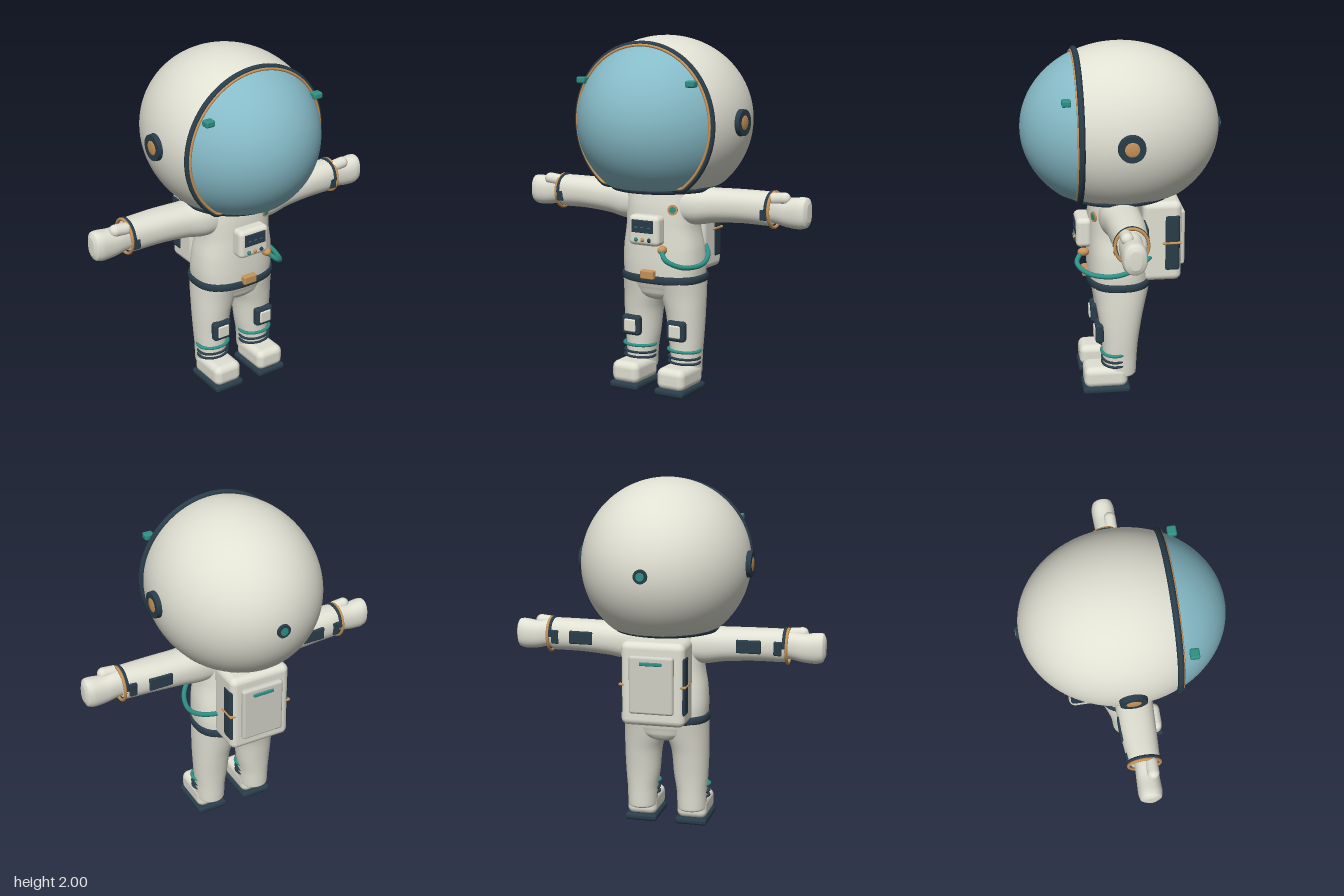
import * as THREE from 'three';
import { RoundedBoxGeometry } from 'three/addons/geometries/RoundedBoxGeometry.js';

const mat = (name, color) => {
  const m = new THREE.MeshStandardMaterial({ color });
  m.name = name;
  return m;
};

// Rounded box centred on a point
const box = (w, h, d, x, y, z, r = 0.02) =>
  new RoundedBoxGeometry(w, h, d, 4, Math.min(r, w / 2.1, h / 2.1, d / 2.1)).translate(x, y, z);

// Smooth closed skin through oval sections [t, cu, cv, ru, rv]; place() maps (t, u, v) to a point
function loft(sections, place, power = 2.3, sides = 40, steps = 40) {
  const a = new THREE.CatmullRomCurve3(sections.map(s => new THREE.Vector3(s[0], s[1], s[2])));
  const b = new THREE.CatmullRomCurve3(sections.map(s => new THREE.Vector3(s[3], s[4], 0)));
  const pos = [], idx = [];
  const bend = c => Math.sign(c) * Math.abs(c) ** (2 / power);
  for (let i = 0; i <= steps; i++) {
    const c = a.getPoint(i / steps), r = b.getPoint(i / steps);
    for (let j = 0; j < sides; j++) {
      const t = j / sides * Math.PI * 2;
      pos.push(...place(c.x, c.y + r.x * bend(Math.cos(t)), c.z + r.y * bend(Math.sin(t))));
      const k = (j + 1) % sides, p = i * sides;
      if (i < steps) idx.push(p + j, p + sides + j, p + k, p + k, p + sides + j, p + sides + k);
    }
  }
  const n = (steps + 1) * sides, first = a.getPoint(0), last = a.getPoint(1);
  pos.push(...place(first.x, first.y, first.z), ...place(last.x, last.y, last.z));
  for (let j = 0; j < sides; j++) {
    const k = (j + 1) % sides, p = steps * sides;
    idx.push(n, j, k, n + 1, p + k, p + j);
  }
  const g = new THREE.BufferGeometry();
  g.setAttribute('position', new THREE.Float32BufferAttribute(pos, 3));
  g.setIndex(idx);
  g.computeVertexNormals();
  return g;
}
const upright = (t, u, v) => [u, t, v];  // sections [y, x, z, rx, rz]
const sideways = (t, u, v) => [t, v, u]; // sections [x, z, y, rz, ry]

// Oval ring lying flat, with a band of the given half height
const flatRing = (rx, rz, tube, x, y, z) => {
  const t = tube / Math.min(rx, rz);
  return new THREE.TorusGeometry(1, t, 12, 64).rotateX(Math.PI / 2).scale(rx, tube / t, rz).translate(x, y, z);
};

// Copy of a geometry reflected across x = 0, with the winding restored
function mirror(geo) {
  const g = geo.index ? geo.toNonIndexed() : geo.clone();
  for (const key of ['position', 'normal']) {
    const at = g.attributes[key];
    for (let i = 0; i < at.count; i += 3) {
      const p = [0, 2, 1].map(k => [-at.getX(i + k), at.getY(i + k), at.getZ(i + k)]);
      p.forEach((q, k) => at.setXYZ(i + k, ...q));
    }
  }
  return g;
}

export function createModel() {
  const root = new THREE.Group();
  root.name = 'astronaut';
  const white = mat('suit white', 0xe0e0d3);
  const navy = mat('navy trim', 0x2a3d4a);
  const blue = mat('visor blue', 0x86bbc8);
  const teal = mat('teal', 0x2f9085);
  const gold = mat('gold', 0xc6945a);
  const grey = mat('panel grey', 0xcfcfc4);
  const add = (name, geo, m) => {
    const mesh = new THREE.Mesh(geo, m);
    mesh.name = name;
    root.add(mesh);
  };
  const pair = (name, geo, m) => {
    add(name + 'Left', geo, m);
    add(name + 'Right', mirror(geo), m);
  };

  // Helmet and visor: ovoids flattened at the neck
  const floor = 1.175;
  const dome = (angle, grow) => {
    const g = new THREE.SphereGeometry(1, 96, 64, 0, Math.PI * 2, 0, angle).rotateX(Math.PI / 2);
    g.scale(0.47 * grow, 0.47 * grow, 0.55 * grow).translate(0, 1.53, 0.005);
    const p = g.attributes.position;
    for (let i = 0; i < p.count; i++) p.setY(i, Math.max(p.getY(i), floor));
    return g;
  };
  add('helmet', dome(Math.PI, 1), white);
  add('visor', dome(Math.acos(0.245 / 0.55), 1.004), blue);
  const rim = (r, z, tube, low) => {
    const pts = [];
    for (let i = 0; i < 96; i++) {
      const t = i / 96 * Math.PI * 2;
      pts.push(new THREE.Vector3(r * Math.sin(t), Math.max(1.528 + r * Math.cos(t), low), z));
    }
    return new THREE.TubeGeometry(new THREE.CatmullRomCurve3(pts, true), 192, tube, 10, true);
  };
  add('visorRim', rim(0.43, 0.25, 0.017, 1.18), navy);
  add('visorTrim', rim(0.423, 0.266, 0.008, 1.187), gold);
  pair('visorLamp', box(0.055, 0.036, 0.05, 0.345, 1.757, 0.325, 0.01), teal);
  const disc = new THREE.CylinderGeometry(0.072, 0.077, 0.05, 40);
  pair('earDisc', disc.rotateZ(-Math.PI / 2).translate(0.466, 1.535, -0.005), navy);
  pair('earCap', new THREE.SphereGeometry(1, 28, 16).scale(0.008, 0.043, 0.043).translate(0.488, 1.535, -0.005), gold);
  const knob = (r, h, z) => new THREE.CylinderGeometry(r, r, h, 28).rotateX(Math.PI / 2).translate(0, 1.53, z);
  add('rearButton', knob(0.038, 0.02, -0.547), navy);
  add('rearButtonCap', knob(0.022, 0.012, -0.555), teal);
  add('neckRing', flatRing(0.287, 0.297, 0.018, 0, 1.168, 0.02), navy);

  // Torso, belt and pelvis
  add('torso', loft([
    [0.625, 0, 0.015, 0.234, 0.174], [0.72, 0, 0.018, 0.24, 0.175], [0.82, 0, 0.025, 0.234, 0.168],
    [0.94, 0, 0.032, 0.214, 0.158], [1.06, 0, 0.036, 0.212, 0.15], [1.14, 0, 0.036, 0.212, 0.138],
    [1.185, 0, 0.035, 0.19, 0.12]], upright, 2.5), white);
  add('belt', loft([
    [0.624, 0, 0.015, 0.232, 0.172], [0.63, 0, 0.015, 0.247, 0.185], [0.648, 0, 0.015, 0.251, 0.188],
    [0.667, 0, 0.015, 0.247, 0.185], [0.673, 0, 0.015, 0.232, 0.172]], upright, 2.5, 56, 12), navy);
  add('buckle', box(0.085, 0.05, 0.04, 0, 0.68, 0.203, 0.008), gold);
  add('pelvis', loft([
    [0.515, 0, 0.005, 0.035, 0.09], [0.53, 0, 0.008, 0.09, 0.125], [0.56, 0, 0.01, 0.17, 0.147],
    [0.6, 0, 0.012, 0.222, 0.16], [0.64, 0, 0.015, 0.235, 0.172]], upright, 2.8), white);

  // Legs, ankle bands, knee pads and boots
  pair('leg', loft([
    [0.09, 0.148, 0.025, 0.074, 0.085], [0.1, 0.148, 0.025, 0.084, 0.096], [0.2, 0.147, 0.022, 0.087, 0.098],
    [0.3, 0.143, 0.02, 0.098, 0.105], [0.45, 0.138, 0.018, 0.107, 0.126],
    [0.55, 0.123, 0.015, 0.121, 0.146], [0.64, 0.12, 0.015, 0.12, 0.166]], upright, 2.15), white);
  pair('ankleBandTeal', flatRing(0.093, 0.073, 0.009, 0.148, 0.235, 0.053), teal);
  for (const y of [0.193, 0.165])
    pair('ankleBandNavy', flatRing(0.091, 0.071, 0.007, 0.148, y, 0.052), navy);
  pair('kneePad', box(0.118, 0.118, 0.05, 0.147, 0.36, 0.14), navy);
  pair('kneePlate', box(0.075, 0.075, 0.02, 0.147, 0.36, 0.162, 0.01), white);
  pair('boot', box(0.175, 0.125, 0.25, 0.149, 0.095, 0.107, 0.04), white);
  pair('sole', box(0.188, 0.042, 0.272, 0.149, 0.021, 0.104, 0.018), navy);

  // Arms and mitts
  pair('sleeve', loft([
    [0.1, 0.032, 1.068, 0.11, 0.1], [0.22, 0.03, 1.066, 0.112, 0.106], [0.34, 0.022, 1.075, 0.105, 0.096],
    [0.5, 0.02, 1.083, 0.1, 0.092], [0.67, 0.024, 1.083, 0.087, 0.092], [0.69, 0.025, 1.083, 0.072, 0.078]], sideways), white);
  pair('mitt', loft([
    [0.64, 0.028, 1.085, 0.065, 0.072], [0.71, 0.03, 1.083, 0.062, 0.076], [0.78, 0.03, 1.073, 0.064, 0.08],
    [0.85, 0.03, 1.075, 0.066, 0.086], [0.885, 0.03, 1.079, 0.058, 0.08], [0.9, 0.03, 1.08, 0.03, 0.05]], sideways), white);
  pair('thumb', new THREE.CapsuleGeometry(0.034, 0.06, 8, 20).rotateZ(Math.PI / 2 + 0.1).translate(0.735, 1.147, 0.058), white);
  const cuff = (arc, r, x) => new THREE.TorusGeometry(0.096, r, 10, 48, arc).rotateY(Math.PI / 2)
    .scale(1, 1, 0.92).translate(x, 1.08, 0.024);
  pair('cuffRing', cuff(Math.PI * 2, 0.009, 0.692), gold);
  pair('cuffBand', cuff(Math.PI, 0.01, 0.677), navy);
  pair('cuffPatchFront', box(0.045, 0.06, 0.03, 0.665, 1.06, 0.1, 0.008), navy);
  pair('cuffPatchRear', box(0.045, 0.08, 0.03, 0.645, 1.08, -0.058, 0.008), navy);
  pair('sleevePatch', box(0.14, 0.075, 0.03, 0.485, 1.085, -0.07, 0.008), navy);

  // Chest unit with screen and buttons, and a round badge
  add('chestUnit', box(0.195, 0.17, 0.09, 0, 0.935, 0.215, 0.028), white);
  add('chestScreen', box(0.14, 0.072, 0.009, 0, 0.96, 0.26, 0.004), navy);
  for (const x of [-0.04, 0, 0.04])
    add('screenMark', new THREE.BoxGeometry(0.02, 0.004, 0.004).translate(x, 0.955, 0.2635), teal);
  [teal, gold, navy].forEach((m, i) =>
    add('chestButton', new THREE.SphereGeometry(0.012, 16, 12).translate((i - 1) * 0.042, 0.885, 0.26), m));
  const badge = (r, out) => new THREE.CylinderGeometry(r, r, 0.02, 28).rotateX(Math.PI / 2)
    .translate(0, 0, out).rotateY(0.4).translate(0.135, 1.05, 0.16);
  add('badge', badge(0.029, 0), gold);
  add('badgeCentre', badge(0.018, 0.004), teal);

  // Air hose running round the model's left side to the backpack
  const hose = [[0.105, 0.83, 0.235], [0.15, 0.785, 0.262], [0.21, 0.745, 0.21], [0.252, 0.733, 0.1],
    [0.255, 0.745, 0.01], [0.225, 0.775, -0.08], [0.16, 0.815, -0.16]];
  add('hose', new THREE.TubeGeometry(new THREE.CatmullRomCurve3(hose.map(p => new THREE.Vector3(...p))), 80, 0.014, 12), teal);
  add('hoseJoint', new THREE.SphereGeometry(0.025, 20, 14).scale(1, 1, 1.3).translate(0.105, 0.832, 0.222), gold);

  // Backpack with side panels, straps and rear plate
  add('backpack', box(0.362, 0.47, 0.22, 0, 0.895, -0.217, 0.038), white);
  pair('packSidePanel', box(0.05, 0.34, 0.094, 0.16, 0.89, -0.27, 0.022), navy);
  pair('packStrap', box(0.06, 0.014, 0.108, 0.161, 0.89, -0.27, 0.007), gold);
  add('packPlate', box(0.25, 0.325, 0.05, 0, 0.898, -0.328, 0.015), grey);
  add('packStripe', box(0.125, 0.02, 0.012, 0, 1.02, -0.356, 0.005), teal);

  return root;
}
